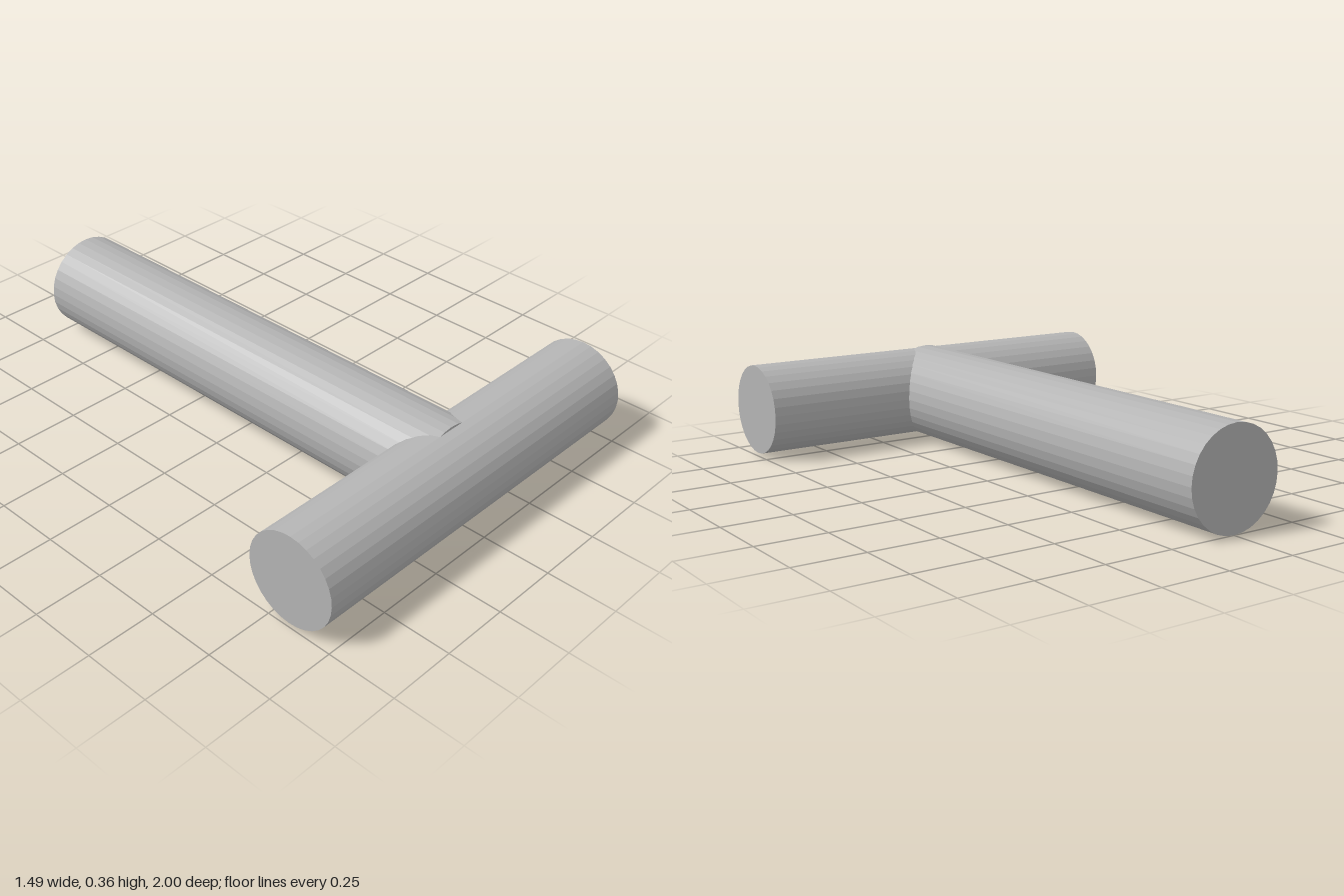
import * as THREE from 'three';

export function createModel() {
  const group = new THREE.Group();
  const gray = new THREE.MeshStandardMaterial({ color: 0xb4b4b4, flatShading: true });
  gray.name = 'plain gray';

  // Closed round bar, turned from the y axis to lie flat
  function bar(name, radius, length, axis, z) {
    const geometry = new THREE.CylinderGeometry(radius, radius, length, 32);
    if (axis === 'x') geometry.rotateZ(Math.PI / 2);
    else geometry.rotateX(Math.PI / 2);
    const mesh = new THREE.Mesh(geometry, gray);
    mesh.name = name;
    mesh.position.set(0, 0.178, z);
    group.add(mesh);
  }

  // Crossbar at the front
  bar('crossBar', 0.168, 1.49, 'x', 0.832);
  // Slightly thicker stem, from the crossbar's axis to the back
  bar('stem', 0.178, 1.832, 'z', -0.084);

  return group;
}
